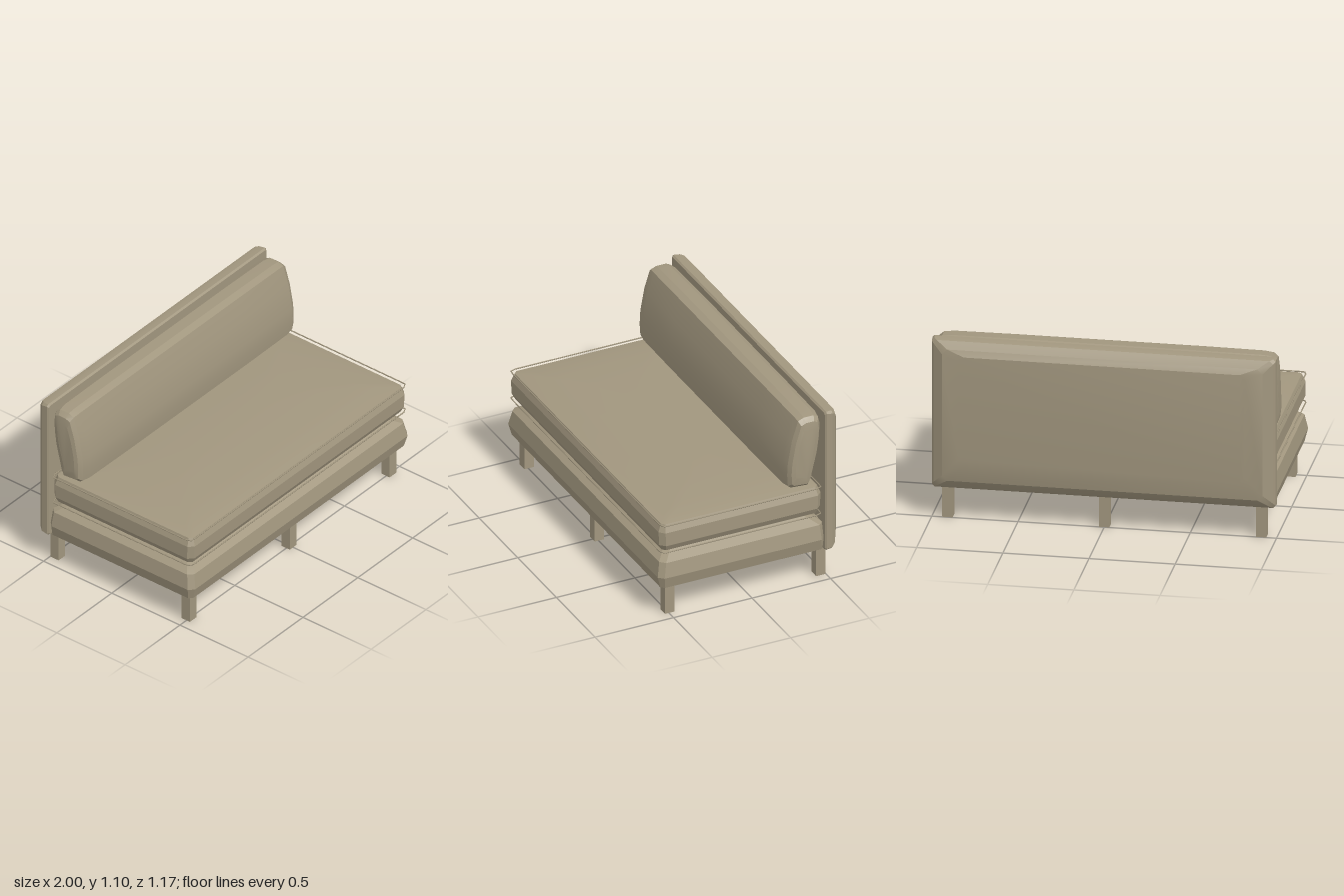
import * as THREE from 'three';
import { toCreasedNormals } from 'three/addons/utils/BufferGeometryUtils.js';

// Rectangle with cut corners, anticlockwise in (u, v)
function cutRect(u0, u1, v0, v1, c) {
  return [[u0 + c, v0], [u1 - c, v0], [u1, v0 + c], [u1, v1 - c],
    [u1 - c, v1], [u0 + c, v1], [u0, v1 - c], [u0, v0 + c]];
}

// Skin a stack of rings [w, points] along an axis and cap both ends
function loft(rings, axis, crease = 0.35) {
  const place = {
    x: (u, v, w) => [w, u, v],
    y: (u, v, w) => [v, w, u],
    z: (u, v, w) => [u, v, w],
  }[axis];
  const n = rings[0][1].length, pos = [], idx = [];
  for (const [w, pts] of rings) for (const [u, v] of pts) pos.push(...place(u, v, w));
  for (let i = 0; i < rings.length - 1; i++) {
    for (let j = 0; j < n; j++) {
      const a = i * n + j, b = i * n + (j + 1) % n;
      idx.push(a, b, b + n, a, b + n, a + n);
    }
  }
  const top = (rings.length - 1) * n;
  for (let j = 1; j < n - 1; j++) {
    idx.push(0, j + 1, j);
    idx.push(top, top + j, top + j + 1);
  }
  const g = new THREE.BufferGeometry();
  g.setAttribute('position', new THREE.Float32BufferAttribute(pos, 3));
  g.setIndex(idx);
  return toCreasedNormals(g, crease);
}

// Horizontal slab from levels [y, half width, back z, front z, corner cut]
function slab(levels) {
  return loft(levels.map(([y, hx, z0, z1, c]) => [y, cutRect(z0, z1, -hx, hx, c)]), 'y');
}

export function createModel() {
  const group = new THREE.Group();
  const fabric = new THREE.MeshStandardMaterial({ color: 0xa1967e });
  fabric.name = 'taupe fabric';
  const add = (name, geometry) => {
    const mesh = new THREE.Mesh(geometry, fabric);
    mesh.name = name;
    group.add(mesh);
    return mesh;
  };

  // Padded base
  add('base', slab([
    [0.18, 0.95, -0.44, 0.53, 0.02],
    [0.197, 0.98, -0.47, 0.565, 0.02],
    [0.27, 0.998, -0.475, 0.585, 0.03],
    [0.36, 0.98, -0.47, 0.567, 0.03],
    [0.405, 0.90, -0.40, 0.50, 0.03],
    [0.415, 0.78, -0.28, 0.38, 0.03],
  ]));

  // Seat cushion with gently domed faces
  add('seatCushion', slab([
    [0.416, 0.60, -0.15, 0.26, 0.05],
    [0.42, 0.90, -0.38, 0.49, 0.03],
    [0.436, 0.965, -0.44, 0.55, 0.02],
    [0.475, 0.985, -0.455, 0.57, 0.03],
    [0.56, 0.985, -0.458, 0.573, 0.03],
    [0.608, 0.965, -0.44, 0.555, 0.02],
    [0.621, 0.90, -0.38, 0.49, 0.03],
    [0.631, 0.76, -0.24, 0.35, 0.05],
    [0.638, 0.58, -0.10, 0.21, 0.05],
    [0.641, 0.35, 0.00, 0.11, 0.04],
  ]));

  // Piping round both edges of the seat cushion
  for (const y of [0.434, 0.609]) {
    const path = new THREE.CatmullRomCurve3(
      cutRect(-0.452, 0.567, -0.988, 0.988, 0.015).map(([z, x]) => new THREE.Vector3(x, y, z)),
      true, 'catmullrom', 0);
    add('seatPiping', new THREE.TubeGeometry(path, 160, 0.004, 5, true));
  }

  // Leaning back cushion: side profile as (y, z), shrinking at both ends
  const profile = [
    [0.622, -0.38], [0.66, -0.40], [0.85, -0.447], [0.95, -0.46], [1.03, -0.462],
    [1.075, -0.45], [1.09, -0.42], [1.09, -0.35], [1.075, -0.31], [0.95, -0.268],
    [0.80, -0.24], [0.72, -0.236], [0.645, -0.242], [0.63, -0.26],
  ];
  const end = [[0.99, 0.66, 0.5], [0.982, 0.86, 0.74], [0.955, 0.96, 0.9], [0.90, 0.99, 0.98], [0.55, 1, 1]];
  const stations = [
    ...end.map(([x, sy, sz]) => [-x, sy, sz]),
    ...end.slice().reverse(),
  ];
  add('backCushion', loft(stations.map(([x, sy, sz]) => [x, profile.map(([y, z]) => {
    const mid = -0.325 - 0.08 * (y - 0.63);
    return [0.856 + (y - 0.856) * sy, mid + (z - mid) * sz];
  })]), 'x', 0.3));

  // Backrest panel, bevelled towards the rear
  add('backrest', loft([
    [-0.587, 0.83, 0.36, 1.02, 0.03],
    [-0.568, 0.93, 0.25, 1.055, 0.03],
    [-0.535, 0.985, 0.205, 1.097, 0.02],
    [-0.515, 0.997, 0.19, 1.102, 0.015],
    [-0.478, 0.998, 0.19, 1.104, 0.01],
    [-0.468, 0.99, 0.195, 1.095, 0.01],
  ].map(([z, hx, y0, y1, c]) => [z, cutRect(-hx, hx, y0, y1, c)]), 'z'));

  // Six square legs
  for (const x of [-0.91, 0, 0.91]) {
    for (const z of [-0.468, 0.495]) {
      add('leg', new THREE.BoxGeometry(0.06, 0.19, 0.06)).position.set(x, 0.095, z);
    }
  }
  return group;
}
